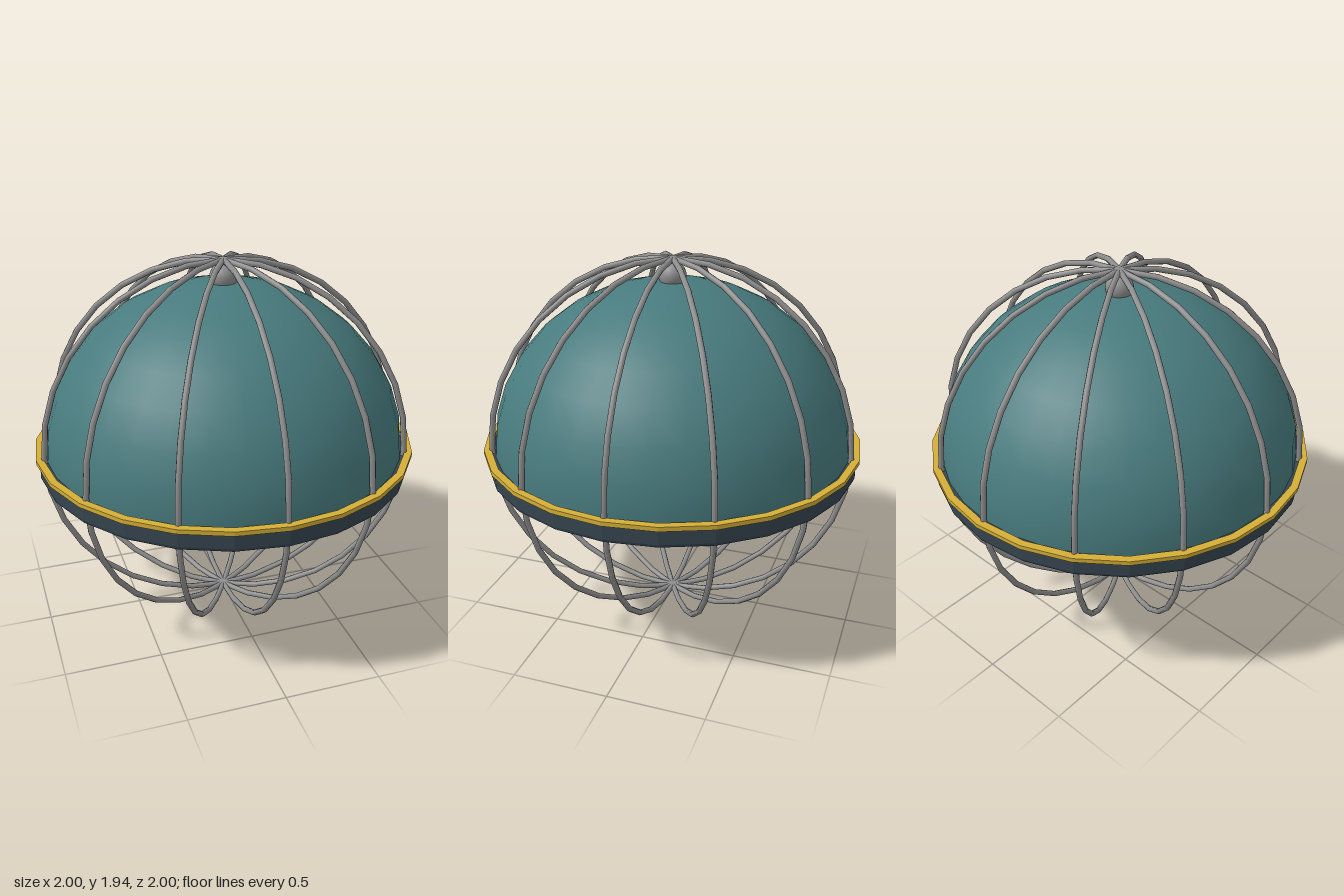
import * as THREE from 'three';

const mat = (name, color, flatShading = false) => {
  const m = new THREE.MeshStandardMaterial({ color, flatShading });
  m.name = name;
  return m;
};

export function createModel() {
  const group = new THREE.Group();
  const teal = mat('teal', 0x487b7e);
  const steel = mat('steel grey', 0x8e8e8e);
  const charcoal = mat('charcoal', 0x36454f, true);
  const gold = mat('gold', 0xd4af37, true);

  const add = (name, geometry, material, y = 0) => {
    const mesh = new THREE.Mesh(geometry, material);
    mesh.name = name;
    mesh.position.y = y;
    group.add(mesh);
    return mesh;
  };
  const lathe = (points) =>
    new THREE.LatheGeometry(points.map(([r, y]) => new THREE.Vector2(r, y)), 24);

  // Slightly flattened dome
  const dome = add('dome', new THREE.SphereGeometry(0.94, 32, 8, 0, Math.PI * 2, 0, Math.PI / 2), teal, 0.948);
  dome.scale.y = 0.868 / 0.94;

  // Solid disc with a bevelled lower edge
  add('baseDisc', lathe([
    [0, 0.845], [0.962, 0.845], [0.975, 0.852], [0.98, 0.867], [0.98, 0.95], [0, 0.95],
  ]), charcoal);

  // Square-section trim ring
  add('trimRing', lathe([
    [0.96, 0.945], [0.998, 0.945], [0.998, 0.968], [0.96, 0.968], [0.96, 0.945],
  ]), gold);

  // Knob on top of the dome
  add('knob', new THREE.SphereGeometry(0.07, 24, 16), steel, 1.838);

  // Six full hoops make the twelve ribs of the cage
  const hoop = new THREE.TorusGeometry(0.955, 0.015, 8, 32);
  for (let i = 0; i < 6; i++) {
    add('cageHoop' + (i + 1), hoop, steel, 0.97).rotation.y = (i * Math.PI) / 6;
  }
  return group;
}
